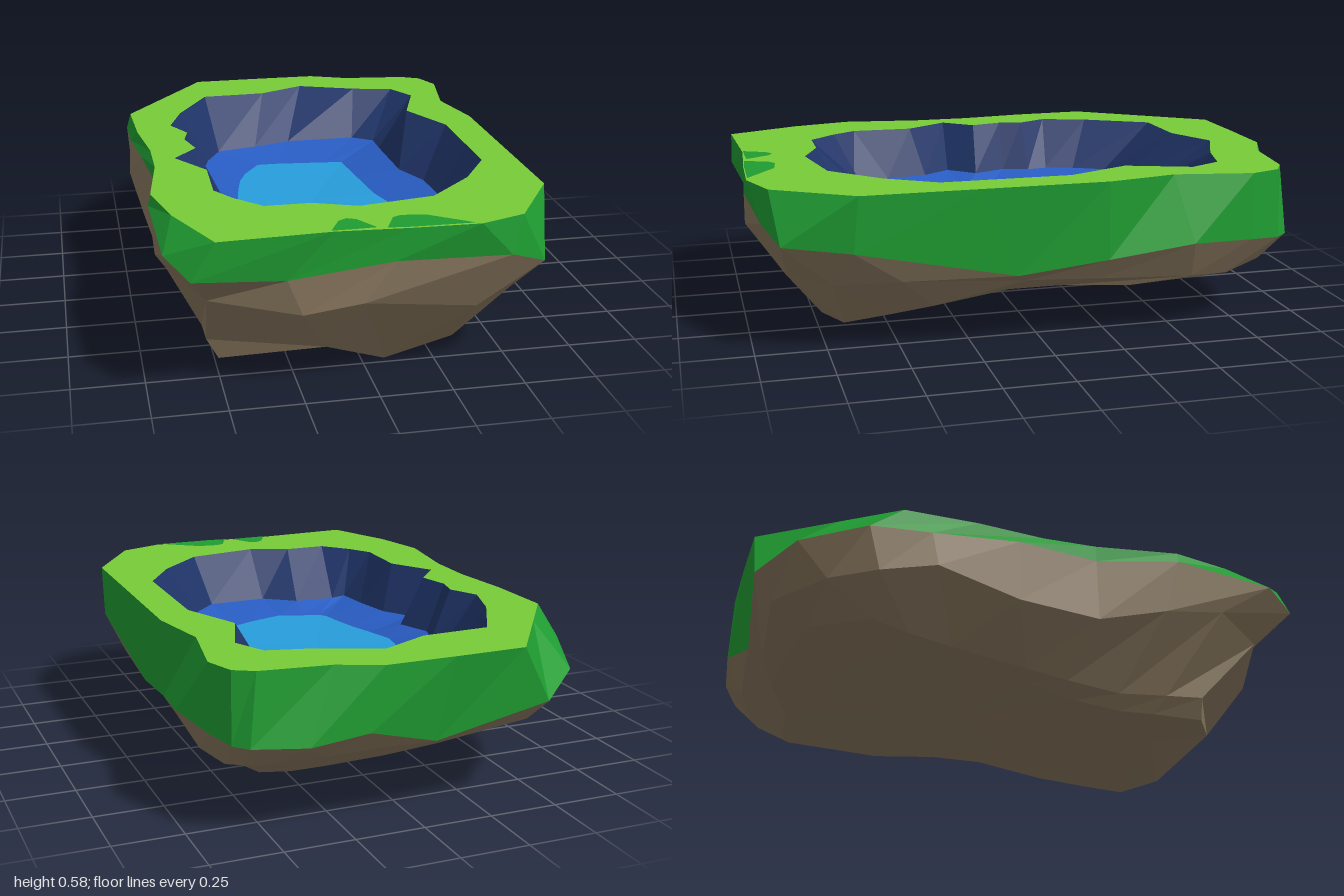
import * as THREE from 'three';

const TOP = 0.58;
const mat = (name, color) => {
  const m = new THREE.MeshStandardMaterial({ color, flatShading: true });
  m.name = name;
  return m;
};

// Split a flat list into points; fixed y turns [x, z] pairs into 3D points
const xz = (list, y) => {
  const out = [];
  for (let i = 0; i < list.length; i += 2) out.push([list[i], y, list[i + 1]]);
  return out;
};
const xyz = (list) => {
  const out = [];
  for (let i = 0; i < list.length; i += 3) out.push(list.slice(i, i + 3));
  return out;
};

// Faceted band between successive rings, optionally closed by a fan at a centre point
function loft(rings, center) {
  const p = [];
  const n = rings[0].length;
  for (let r = 0; r + 1 < rings.length; r++) {
    const a = rings[r], b = rings[r + 1];
    for (let i = 0; i < n; i++) {
      const j = (i + 1) % n;
      p.push(...b[i], ...b[j], ...a[j], ...b[i], ...a[j], ...a[i]);
    }
  }
  if (center) {
    const last = rings[rings.length - 1];
    for (let i = 0; i < n; i++) p.push(...last[(i + 1) % n], ...last[i], ...center);
  }
  const g = new THREE.BufferGeometry();
  g.setAttribute('position', new THREE.Float32BufferAttribute(p, 3));
  g.computeVertexNormals();
  return g;
}

// Flat horizontal sheet, optionally with a hole
function sheet(outline, y, hole) {
  const flat = (pts) => pts.map(([x, , z]) => new THREE.Vector2(x, -z));
  const s = new THREE.Shape(flat(outline));
  if (hole) s.holes.push(new THREE.Path(flat(hole)));
  return new THREE.ShapeGeometry(s).rotateX(-Math.PI / 2).translate(0, y, 0);
}

export function createModel() {
  const group = new THREE.Group();
  const grass = mat('light grass', 0x78cb36);
  const turf = mat('green turf', 0x1f9c32);
  const earth = mat('brown earth', 0x88775e);
  const navy = mat('deep blue bank', 0x1f3468);
  const blue = mat('blue shallows', 0x285cc2);
  const water = mat('light blue water', 0x279cda);
  const add = (name, geometry, material) => {
    const m = new THREE.Mesh(geometry, material);
    m.name = name;
    group.add(m);
  };

  // Land rings from the grass rim down, starting front right and running along the front
  const rim = xz([
    -0.53, 0.99, -0.15, 0.97, 0.1, 0.985, 0.33, 0.99, 0.49, 0.93, 0.66, 0.65,
    0.66, 0.24, 0.66, -0.22, 0.61, -0.47, 0.66, -0.75, 0.62, -0.86, 0.55, -0.9,
    0.3, -0.93, 0.15, -0.995, -0.1, -0.995, -0.36, -0.99, -0.55, -0.72, -0.69, -0.52,
    -0.68, -0.25, -0.65, 0, -0.65, 0.2, -0.69, 0.5, -0.64, 0.72], TOP);
  const turfEdge = xyz([
    -0.61, 0.45, 0.99, -0.3, 0.42, 0.96, 0.05, 0.47, 0.985, 0.45, 0.45, 0.955,
    0.58, 0.4, 0.905, 0.65, 0.38, 0.67, 0.64, 0.26, 0.1, 0.66, 0.3, -0.22,
    0.705, 0.35, -0.52, 0.665, 0.34, -0.75, 0.625, 0.33, -0.87, 0.58, 0.33, -0.92,
    0.4, 0.33, -0.98, 0.2, 0.36, -1, -0.06, 0.28, -0.95, -0.46, 0.38, -0.99,
    -0.615, 0.44, -0.87, -0.7, 0.49, -0.64, -0.7, 0.5, -0.42, -0.68, 0.53, -0.1,
    -0.65, 0.52, 0.2, -0.7, 0.54, 0.5, -0.685, 0.5, 0.87]);
  const slope = xyz([
    -0.55, 0.33, 0.86, -0.25, 0.295, 0.96, -0.05, 0.33, 0.98, 0.36, 0.24, 0.87,
    0.53, 0.24, 0.73, 0.61, 0.26, 0.5, 0.6, 0.23, 0.06, 0.61, 0.22, -0.2,
    0.63, 0.21, -0.54, 0.59, 0.2, -0.69, 0.57, 0.24, -0.82, 0.5, 0.25, -0.87,
    0.33, 0.27, -0.92, 0.12, 0.28, -0.94, -0.08, 0.25, -0.9, -0.42, 0.3, -0.92,
    -0.6, 0.32, -0.76, -0.69, 0.33, -0.6, -0.71, 0.37, -0.4, -0.68, 0.3, -0.1,
    -0.66, 0.28, 0.2, -0.68, 0.34, 0.45, -0.66, 0.38, 0.68]);
  const base = xyz([
    -0.53, 0.09, 0.64, -0.15, 0.12, 0.84, 0.08, 0, 0.72, 0.34, 0.04, 0.67,
    0.44, 0.09, 0.53, 0.53, 0.14, 0.38, 0.5, 0.17, 0.1, 0.5, 0.17, -0.1,
    0.56, 0.17, -0.33, 0.55, 0.18, -0.6, 0.48, 0.165, -0.72, 0.38, 0.165, -0.75,
    0.25, 0.165, -0.75, 0.08, 0.21, -0.84, -0.12, 0.22, -0.83, -0.38, 0.24, -0.78,
    -0.55, 0.215, -0.59, -0.55, 0.18, -0.46, -0.52, 0.165, -0.3, -0.5, 0.13, -0.02,
    -0.51, 0.1, 0.13, -0.52, 0.07, 0.32, -0.53, 0.08, 0.5]);
  const floor = xyz([
    -0.49, 0.02, 0.65, -0.2, 0.04, 0.58, 0, 0.035, 0.58, 0.2, 0.055, 0.52,
    0.28, 0.07, 0.43, 0.32, 0.1, 0.3, 0.32, 0.14, 0.1, 0.32, 0.16, -0.12,
    0.35, 0.165, -0.3, 0.32, 0.165, -0.5, 0.27, 0.165, -0.6, 0.22, 0.165, -0.62,
    0.15, 0.17, -0.62, 0.05, 0.18, -0.62, -0.08, 0.19, -0.62, -0.22, 0.2, -0.6,
    -0.37, 0.19, -0.5, -0.4, 0.18, -0.4, -0.41, 0.165, -0.25, -0.42, 0.12, 0,
    -0.44, 0.06, 0.18, -0.48, 0.02, 0.33, -0.49, 0.02, 0.46]);

  // Pond rings, starting at the back and running clockwise seen from above
  const shore = xz([
    -0.36, -0.73, -0.11, -0.74, 0.07, -0.83, 0.29, -0.74, 0.45, -0.7, 0.51, -0.58,
    0.43, -0.35, 0.53, -0.12, 0.53, 0.15, 0.53, 0.35, 0.42, 0.53, 0.25, 0.7,
    -0.02, 0.75, -0.17, 0.69, -0.33, 0.69, -0.42, 0.59, -0.475, 0.5, -0.47, 0.27,
    -0.57, 0.11, -0.48, 0, -0.51, -0.12, -0.49, -0.21, -0.545, -0.32, -0.49, -0.49], TOP);
  const shallows = xz([
    -0.33, -0.53, -0.17, -0.57, -0.02, -0.62, 0.26, -0.62, 0.34, -0.56, 0.34, -0.45,
    0.35, -0.15, 0.41, 0, 0.42, 0.17, 0.39, 0.35, 0.3, 0.5, 0.21, 0.595,
    -0.02, 0.6, -0.14, 0.51, -0.3, 0.5, -0.365, 0.52, -0.38, 0.38, -0.41, 0.22,
    -0.48, 0.11, -0.39, 0.01, -0.44, -0.12, -0.41, -0.22, -0.42, -0.3, -0.39, -0.41], 0.395);
  const deep = xz([
    -0.18, -0.44, -0.1, -0.44, 0, -0.43, 0.1, -0.42, 0.17, -0.41, 0.175, -0.35,
    0.19, -0.2, 0.21, 0, 0.255, 0.17, 0.23, 0.27, 0.19, 0.37, 0.1, 0.41,
    -0.04, 0.455, -0.13, 0.42, -0.2, 0.4, -0.22, 0.37, -0.235, 0.28, -0.26, 0.17,
    -0.29, 0.08, -0.32, -0.03, -0.31, -0.1, -0.295, -0.18, -0.28, -0.25, -0.25, -0.33], 0.355);

  add('grassTop', sheet(rim, TOP, shore), grass);
  add('turfSides', loft([rim, turfEdge]), turf);
  add('earthUnderside', loft([turfEdge, slope, base, floor], [0, 0.155, -0.11]), earth);
  add('pondBank', loft([shore, shallows]), navy);
  add('pondShallows', loft([shallows, deep]), blue);
  add('pondWater', loft([deep], [-0.03, 0.345, 0]), water);

  // Darker turf patches along the front of the rim
  const patches = [
    [-0.16, 0.968, -0.12, 0.885, -0.09, 0.865, -0.06, 0.88, -0.01, 0.965, -0.08, 0.968],
    [0.02, 0.975, 0.06, 0.885, 0.09, 0.87, 0.17, 0.88, 0.31, 0.985, 0.1, 0.983],
  ];
  for (const p of patches) add('turfPatch', sheet(xz(p, 0), TOP + 0.003), turf);

  return group;
}
